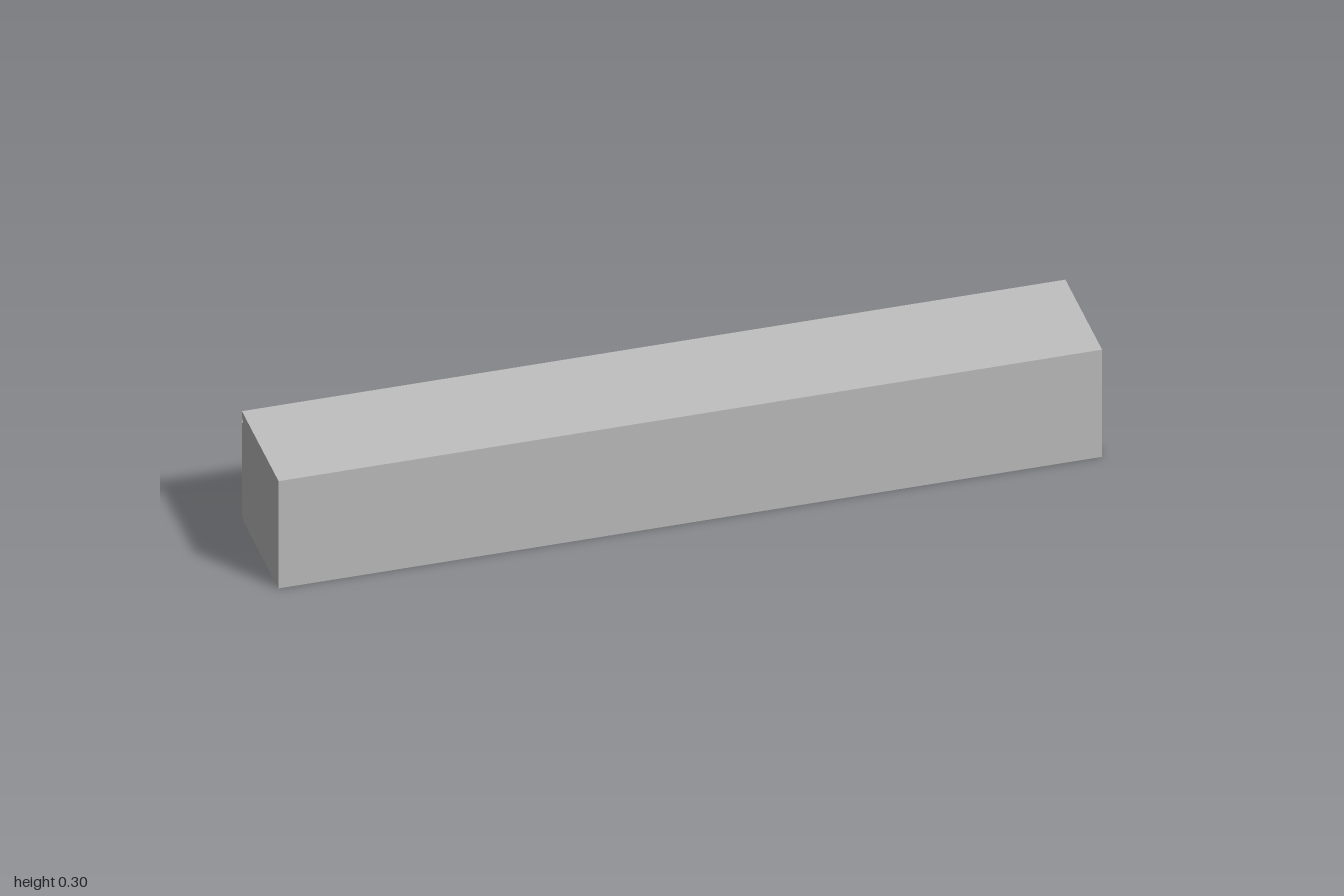
import * as THREE from 'three';

export function createModel() {
  const model = new THREE.Group();
  const grey = new THREE.MeshStandardMaterial({ color: 0xc0c0c0 });
  grey.name = 'plain grey';

  const T = 0.018;                                   // panel thickness
  const back = 0.17, carcass = -0.127, face = -0.138; // z planes

  // Box given by its limits on each axis
  function panel(name, x0, x1, y0, y1, z0, z1) {
    const mesh = new THREE.Mesh(new THREE.BoxGeometry(x1 - x0, y1 - y0, z1 - z0), grey);
    mesh.position.set((x0 + x1) / 2, (y0 + y1) / 2, (z0 + z1) / 2);
    mesh.name = name;
    model.add(mesh);
  }

  // Carcass: the top overhangs to the plane of the doors
  panel('topPanel', -1, 1, 0.3 - T, 0.3, face, back);
  panel('bottomPanel', -1, 1, 0, T, carcass, back);
  panel('backPanel', -1 + T, 1 - T, T, 0.3 - T, back - 0.006, back);

  // Bowed handle path, bulging away from the door
  const points = [];
  for (let i = 0; i <= 16; i++) {
    const a = Math.PI * i / 16;
    points.push(new THREE.Vector3(-0.077 * Math.cos(a), 0, -0.028 * Math.sin(a)));
  }
  const handlePath = new THREE.CatmullRomCurve3(points);
  const handleGeometry = new THREE.TubeGeometry(handlePath, 40, 0.005, 12, false);

  // Mirrored sides, dividers, doors and handles
  for (const s of [1, -1]) {
    const side = s > 0 ? 'left' : 'right';
    const span = (a, b) => (s > 0 ? [a, b] : [-b, -a]);
    panel(side + 'SidePanel', ...span(1 - T, 1), T, 0.3 - T, carcass, back);
    panel(side + 'Divider', ...span(0.313, 0.333), T, 0.3 - T, carcass, back - 0.006);
    panel(side + 'Door', ...span(0.325, 1), 0.01, 0.272, face, carcass);

    const handle = new THREE.Mesh(handleGeometry, grey);
    handle.position.set(s * 0.664, 0.23, face);
    handle.name = side + 'Handle';
    model.add(handle);
  }
  return model;
}
